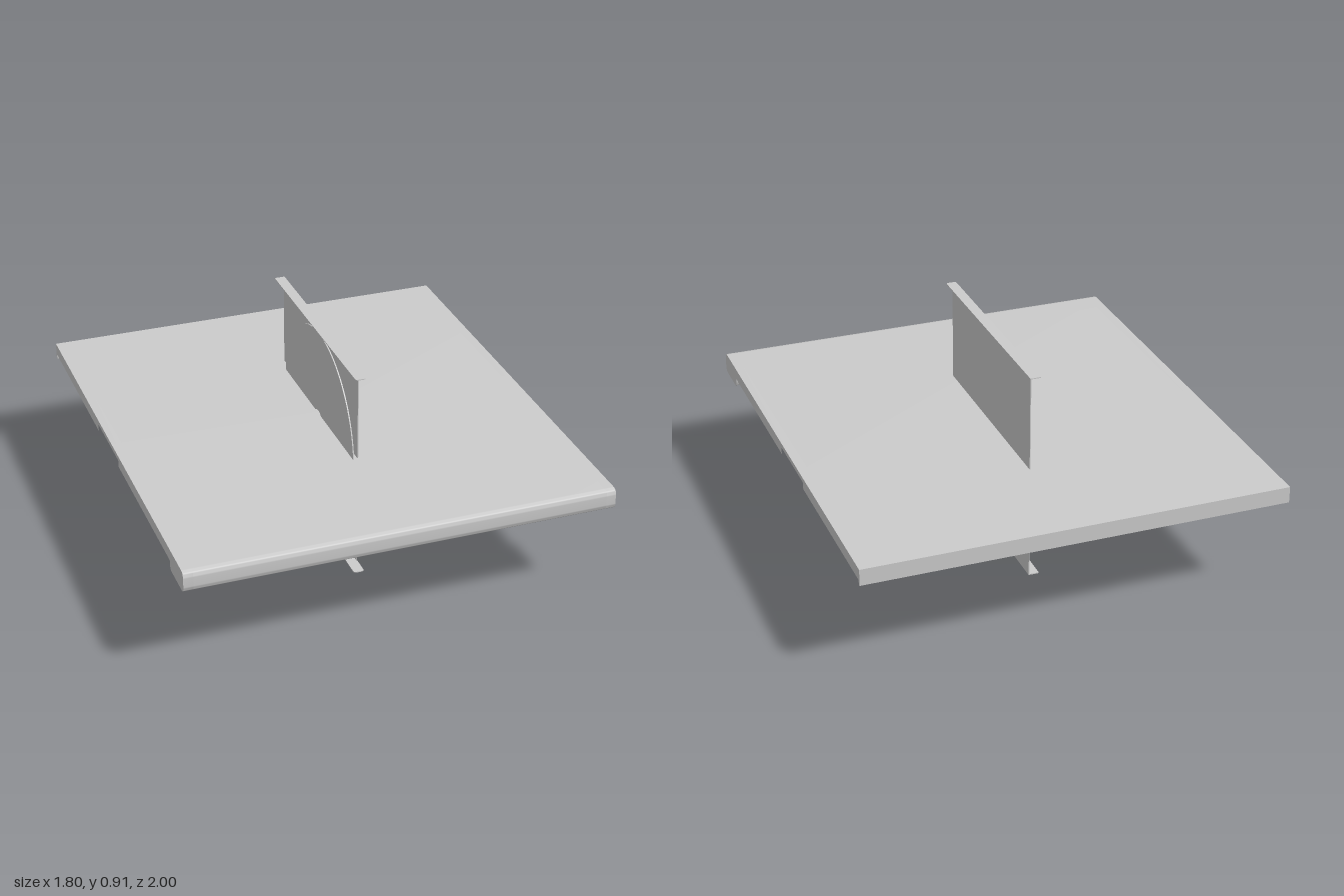
import * as THREE from 'three';
import { toCreasedNormals } from 'three/addons/utils/BufferGeometryUtils.js';

const material = new THREE.MeshStandardMaterial({ color: 0xcccccc, side: THREE.DoubleSide });
const HALF_W = 0.9, TOP = 0.5, CEILING = 0.48, UNDER = 0.45;
const DISC_Z = -0.088, RECESS_R = 0.914;

function add(parent, name, geometry, x = 0, y = 0, z = 0) {
  const mesh = new THREE.Mesh(geometry, material);
  mesh.name = name;
  mesh.position.set(x, y, z);
  parent.add(mesh);
  return mesh;
}

// Box given by its minimum and maximum corners
function addBox(parent, name, [x0, y0, z0], [x1, y1, z1]) {
  return add(parent, name, new THREE.BoxGeometry(x1 - x0, y1 - y0, z1 - z0),
    (x0 + x1) / 2, (y0 + y1) / 2, (z0 + z1) / 2);
}

// Side profile (z, y) of the lid and its thick rounded spine, extruded from x0 to x1
function lidSection(x0, x1, grooved) {
  const r = 0.026, s = new THREE.Shape();
  s.moveTo(-0.99, CEILING);
  s.lineTo(0.82, CEILING);
  s.lineTo(0.82, 0.41 + r);
  s.quadraticCurveTo(0.82, 0.41, 0.82 + r, 0.41);
  if (grooved) {
    for (let i = 0; i < 4; i++) {
      const z = 0.855 + i * 0.032;
      s.lineTo(z, 0.41);
      s.lineTo(z, 0.422);
      s.lineTo(z + 0.016, 0.422);
      s.lineTo(z + 0.016, 0.41);
    }
  }
  s.lineTo(1 - r, 0.41);
  s.quadraticCurveTo(1, 0.41, 1, 0.41 + r);
  s.lineTo(1, TOP - r);
  s.quadraticCurveTo(1, TOP, 1 - r, TOP);
  s.lineTo(-0.99, TOP);
  const g = new THREE.ExtrudeGeometry(s, { depth: x1 - x0, bevelEnabled: false, curveSegments: 8 });
  g.rotateY(-Math.PI / 2).translate(x1, 0, 0);
  return toCreasedNormals(g, 0.6);
}

// Lower layer at one end of the lid, cut by the round recess (dir: 1 front, -1 back)
function recessRim(dir, end) {
  const a0 = Math.acos(HALF_W / RECESS_R), n = 72, s = new THREE.Shape();
  s.moveTo(HALF_W, end);
  for (let i = 0; i <= n; i++) {
    const a = a0 + (Math.PI - 2 * a0) * i / n;
    let z = DISC_Z + dir * RECESS_R * Math.sin(a);
    z = dir > 0 ? Math.min(z, end - 0.002) : Math.max(z, end + 0.002);
    s.lineTo(RECESS_R * Math.cos(a), z);
  }
  s.lineTo(-HALF_W, end);
  const g = new THREE.ExtrudeGeometry(s, { depth: CEILING - UNDER, bevelEnabled: false });
  g.rotateX(Math.PI / 2);
  return toCreasedNormals(g, 0.5);
}

function createCase() {
  const group = new THREE.Group();
  group.name = 'trayCase';
  add(group, 'lidAndRibbedSpine', lidSection(-0.86, 0.86, true));
  add(group, 'spineEndLeft', lidSection(0.86, HALF_W, false));
  add(group, 'spineEndRight', lidSection(-HALF_W, -0.86, false));
  add(group, 'frontRecessRim', recessRim(1, 0.825), 0, CEILING, 0);
  add(group, 'backRecessRim', recessRim(-1, -0.99), 0, CEILING, 0);
  addBox(group, 'backLip', [-HALF_W, 0.43, -1], [HALF_W, TOP, -0.99]);

  // Round hub with spring fingers
  const hub = new THREE.Group();
  hub.name = 'hub';
  hub.position.z = DISC_Z;
  group.add(hub);
  const profile = [[0.075, 0.48], [0.085, 0.461], [0.1, 0.456], [0.118, 0.456], [0.133, 0.461], [0.142, 0.48]]
    .map(([r, y]) => new THREE.Vector2(r, y));
  add(hub, 'hubRing', new THREE.LatheGeometry(profile, 48));
  for (let i = 0; i < 12; i++) {
    const finger = new THREE.BoxGeometry(0.055, 0.012, 0.014);
    finger.translate(0.06, 0.464, 0);
    add(hub, 'hubFinger', finger).rotation.y = i * Math.PI / 6;
  }
  return group;
}

// Flat strip with rounded front corners, folded from the top or bottom of the card
function foldedStrip() {
  const x0 = -0.025, x1 = 0.02, r = 0.012, s = new THREE.Shape();
  s.moveTo(x0, -0.5);
  s.lineTo(x1, -0.5);
  s.lineTo(x1, 0.5 - r);
  s.quadraticCurveTo(x1, 0.5, x1 - r, 0.5);
  s.lineTo(x0 + r, 0.5);
  s.quadraticCurveTo(x0, 0.5, x0, 0.5 - r);
  return new THREE.ExtrudeGeometry(s, { depth: 0.004, bevelEnabled: false }).rotateX(Math.PI / 2);
}

function createUprightInsert() {
  const group = new THREE.Group();
  group.name = 'uprightInsert';
  addBox(group, 'card', [0.016, 0, -0.5], [0.02, 0.91, 0.418]);
  add(group, 'topStrip', foldedStrip(), 0, 0.91, 0);
  add(group, 'bottomStrip', foldedStrip(), 0, 0.004, 0);

  // Thin disc with a centre hole
  const s = new THREE.Shape().absarc(0, 0, 0.425, 0, Math.PI * 2);
  s.holes.push(new THREE.Path().absarc(0, 0, 0.057, 0, Math.PI * 2, true));
  const disc = new THREE.ExtrudeGeometry(s, { depth: 0.005, bevelEnabled: false, curveSegments: 48 });
  add(group, 'disc', toCreasedNormals(disc.rotateY(Math.PI / 2), 0.5), -0.005, 0.455, 0.002);
  return group;
}

export function createModel() {
  const model = new THREE.Group();
  model.name = 'discCase';
  model.add(createCase(), createUprightInsert());
  return model;
}
